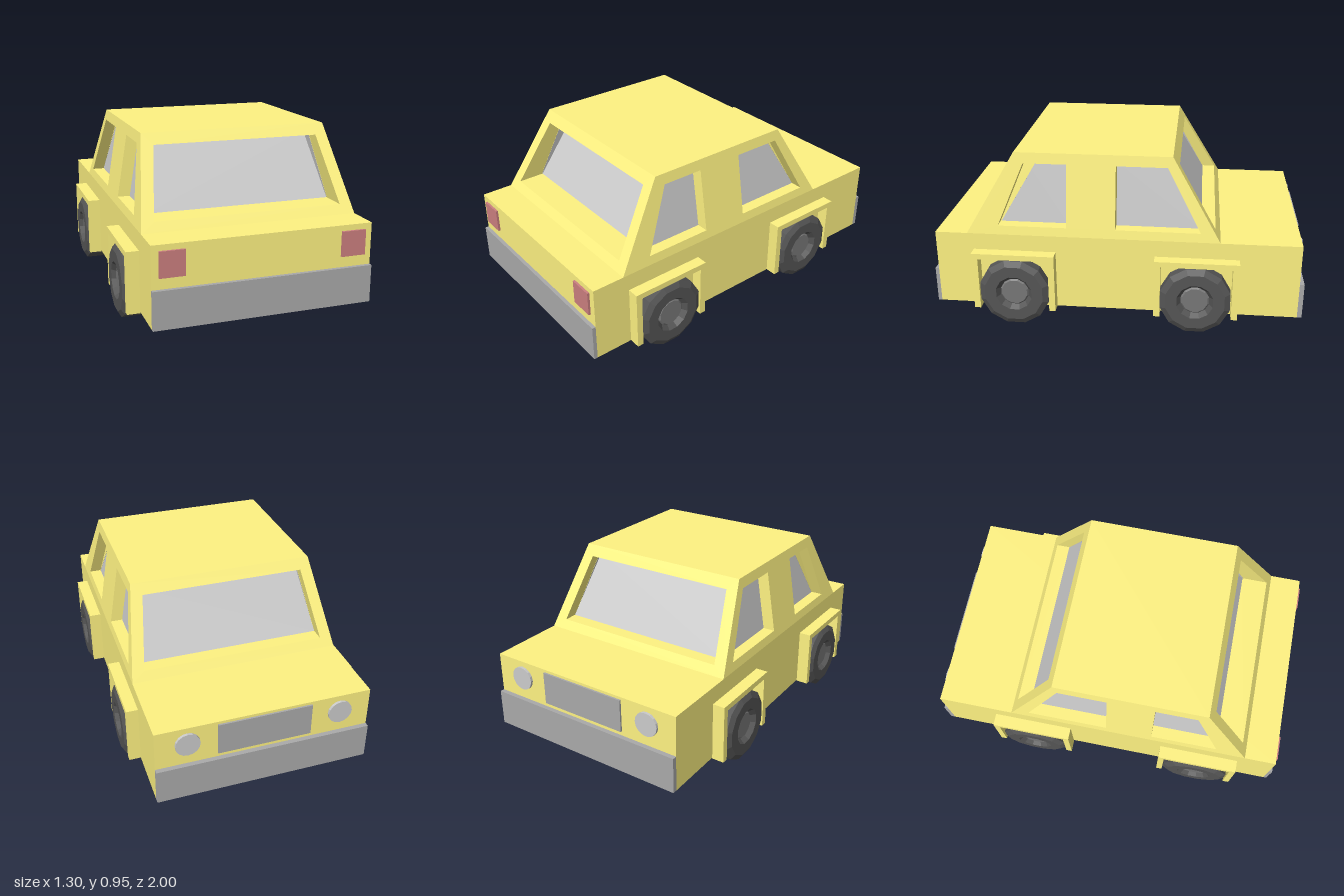
import * as THREE from 'three';

const paint = (color, extra = {}) => new THREE.MeshStandardMaterial({ color, flatShading: true, ...extra });

export function createModel() {
  const model = new THREE.Group();
  const yellow = paint(0xfff382);
  const yellowThin = paint(0xfff382, { side: THREE.DoubleSide });
  const glass = paint(0xcccccc, { side: THREE.DoubleSide });
  const grey = paint(0xaaaaaa);
  const lamp = paint(0xcccccc);
  const red = paint(0xcc8080);
  const tyreMat = paint(0x555555);
  const hubMat = paint(0x777777);

  const add = (name, geo, mat, parent) => {
    const mesh = new THREE.Mesh(geo, mat);
    mesh.name = name;
    parent.add(mesh);
    return mesh;
  };
  // Box given by its minimum and maximum corners
  const box = (name, a, b, mat, parent) => {
    const geo = new THREE.BoxGeometry(b[0] - a[0], b[1] - a[1], b[2] - a[2]);
    geo.translate((a[0] + b[0]) / 2, (a[1] + b[1]) / 2, (a[2] + b[2]) / 2);
    return add(name, geo, mat, parent);
  };

  // Lower body, bumpers, lights and grille
  const body = new THREE.Group();
  body.name = 'body';
  body.position.x = 0.004;
  model.add(body);
  box('lowerBody', [-0.575, 0.087, -0.975], [0.575, 0.505, 0.98], yellow, body);
  box('frontBumper', [-0.575, 0.087, 0.98], [0.575, 0.285, 1], grey, body);
  box('backBumper', [-0.575, 0.087, -1], [0.575, 0.285, -0.975], grey, body);
  box('grille', [-0.25, 0.31, -0.985], [0.25, 0.49, -0.975], grey, body);
  for (const s of [-1, 1]) {
    box('redLight', [s * 0.473 - 0.065, 0.343, 0.98], [s * 0.473 + 0.065, 0.475, 0.992], red, body);
    const light = add('headlight', new THREE.CylinderGeometry(0.065, 0.065, 0.014, 16), lamp, body);
    light.rotation.x = Math.PI / 2;
    light.position.set(s * 0.408, 0.41, -0.982);
  }

  // Cabin: sloping walls with recessed windows
  const cabin = new THREE.Group();
  cabin.name = 'cabin';
  body.add(cabin);
  const Y0 = 0.505, Y1 = 0.947;
  const toPoints = (list) => list.map(([u, v]) => new THREE.Vector2(u, v));

  // place(u, v, depth) puts a wall point in space, depth measured inwards
  const wall = (name, outline, windows, depth, place) => {
    const map = (geo, d) => {
      const p = geo.attributes.position;
      for (let i = 0; i < p.count; i++) p.setXYZ(i, ...place(p.getX(i), p.getY(i), d));
      geo.computeVertexNormals();
      return geo;
    };
    const shape = new THREE.Shape(toPoints(outline));
    windows.forEach((w) => shape.holes.push(new THREE.Path(toPoints(w))));
    add(name, map(new THREE.ShapeGeometry(shape), 0), yellowThin, cabin);
    windows.forEach((w) => {
      add(name + 'Window', map(new THREE.ShapeGeometry(new THREE.Shape(toPoints(w))), depth), glass, cabin);
      // Window reveal joining the wall to the glass
      const pos = [];
      w.forEach(([u, v], i) => {
        const [u2, v2] = w[(i + 1) % w.length];
        const a = place(u, v, 0), b = place(u2, v2, 0);
        const c = place(u2, v2, depth), d = place(u, v, depth);
        pos.push(...a, ...b, ...c, ...a, ...c, ...d);
      });
      const geo = new THREE.BufferGeometry();
      geo.setAttribute('position', new THREE.Float32BufferAttribute(pos, 3));
      geo.computeVertexNormals();
      add(name + 'Reveal', geo, yellowThin, cabin);
    });
  };
  const lean = (low, high, y) => low + ((high - low) * (y - Y0)) / (Y1 - Y0);
  const endOutline = [[-0.575, Y0], [0.575, Y0], [0.502, Y1], [-0.502, Y1]];
  const endWindow = [[-0.502, 0.553], [0.502, 0.553], [0.447, 0.89], [-0.447, 0.89]];
  wall('frontWall', endOutline, [endWindow], 0.147, (u, v, d) => [u, v, lean(0.805, 0.545, v) - d]);
  wall('backWall', endOutline, [endWindow], 0.075, (u, v, d) => [u, v, lean(-0.55, -0.29, v) + d]);
  const sideOutline = [[-0.55, Y0], [0.805, Y0], [0.545, Y1], [-0.29, Y1]];
  const sideWindows = [
    [[0.265, 0.553], [0.635, 0.553], [0.495, 0.89], [0.265, 0.89]],
    [[-0.445, 0.553], [0.005, 0.553], [0.005, 0.89], [-0.265, 0.89]],
  ];
  for (const s of [-1, 1]) {
    wall(s > 0 ? 'leftWall' : 'rightWall', sideOutline, sideWindows, 0.066,
      (u, v, d) => [s * (lean(0.575, 0.502, v) - d), v, u]);
  }
  const roof = new THREE.PlaneGeometry(1.004, 0.835);
  roof.rotateX(-Math.PI / 2);
  roof.translate(0, Y1, 0.1275);
  add('roof', roof, yellowThin, cabin);

  // Wheels and square arches, turned profiles with twelve flats
  const R = 0.187 / Math.cos(Math.PI / 12);
  const turned = (list) =>
    new THREE.LatheGeometry(toPoints(list), 12, Math.PI / 12).rotateZ(-Math.PI / 2);
  const tyre = turned([[0, 0.5], [R, 0.5], [R, 0.632], [0.162, 0.65], [0.1, 0.65], [0.078, 0.622]]);
  const hub = turned([[0.078, 0.622], [0.07, 0.63], [0, 0.63]]);
  const archShape = (h, w, top) => [[-w, 0.087], [-w, top], [w, top], [w, 0.087]].map(([u, v]) => [u + h, v]);
  for (const s of [-1, 1]) {
    for (const [z, archZ] of [[0.55, 0.55], [-0.427, -0.43]]) {
      const wheel = new THREE.Group();
      wheel.name = 'wheel';
      wheel.position.set(0, 0.187, z);
      if (s < 0) wheel.rotation.y = Math.PI;
      add('tyre', tyre, tyreMat, wheel);
      add('hub', hub, hubMat, wheel);
      model.add(wheel);

      const outer = archShape(0, 0.224, 0.413);
      const inner = archShape(0, 0.19, 0.382).reverse();
      const arch = new THREE.ExtrudeGeometry(new THREE.Shape(toPoints([...outer, ...inner])),
        { depth: 0.067, bevelEnabled: false });
      arch.rotateY((s * Math.PI) / 2);
      arch.translate(s * 0.575, 0, archZ);
      add('wheelArch', arch, yellow, model);
    }
  }
  return model;
}
